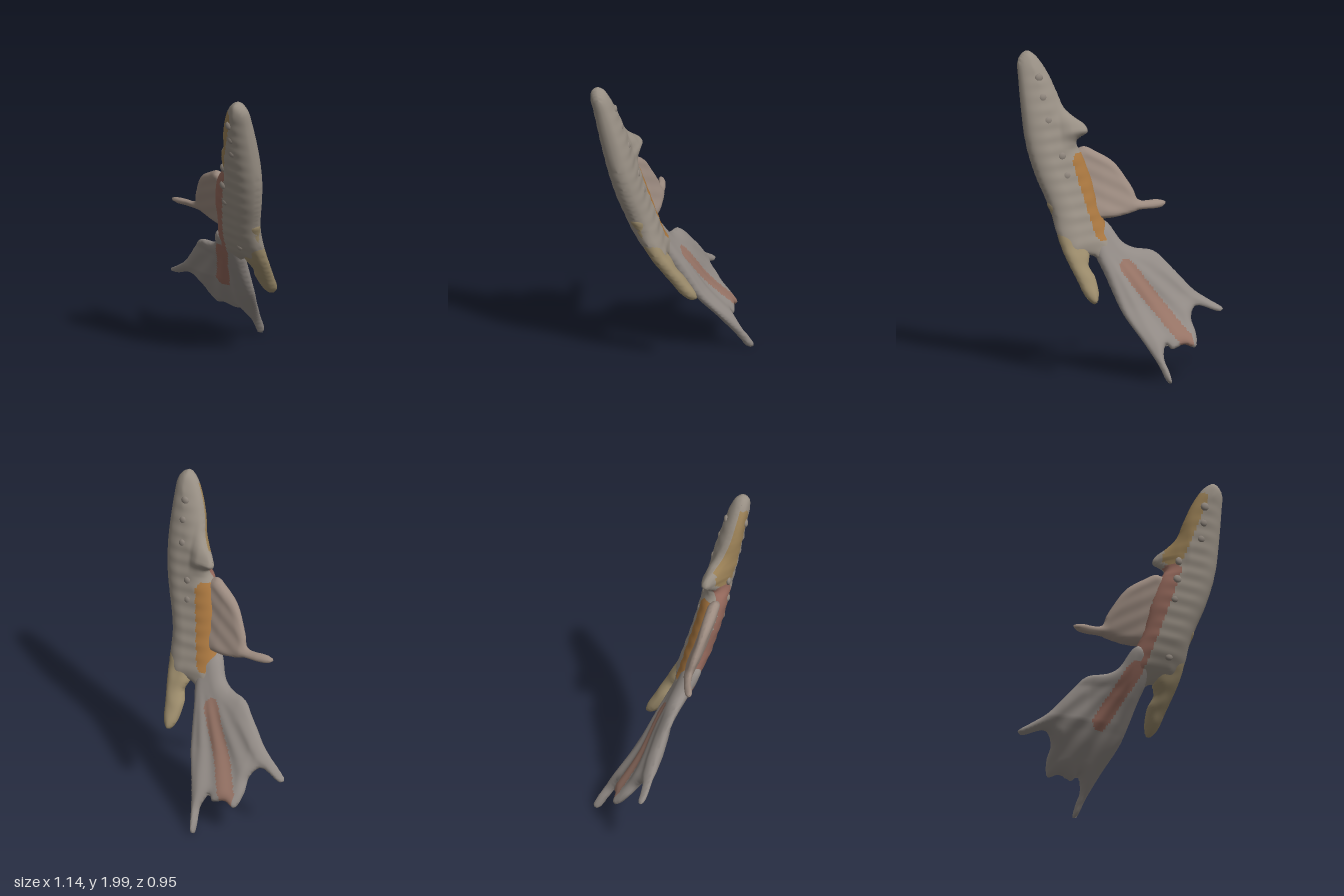
import * as THREE from 'three';

const STEP = 0.012;
const clamp = THREE.MathUtils.clamp;
const ramp = (v, from, to) => clamp((v - from) / (to - from), 0, 1);

// The whole fish follows one bowed sheet: depth z as a function of height y
const bow = new THREE.SplineCurve(
  [-0.455, -0.325, -0.17, -0.045, 0.075, 0.172, 0.24, 0.29, 0.335, 0.385, 0.435]
    .map((z, i) => new THREE.Vector2(i * 0.2, z)));
const depth = (y) => bow.getPoint(clamp(y / 2, 0, 1)).y;

function segmentNearest(x, y, a, b) {
  const dx = b[0] - a[0], dy = b[1] - a[1];
  const t = clamp(((x - a[0]) * dx + (y - a[1]) * dy) / (dx * dx + dy * dy || 1), 0, 1);
  const px = a[0] + t * dx, py = a[1] + t * dy;
  return { px, py, d: Math.hypot(x - px, y - py) };
}

// Distance to a closed outline, nearest point on it, and whether (x, y) is inside
function probe(x, y, line) {
  let best = { d: Infinity }, inside = false;
  line.forEach((a, i) => {
    const b = line[(i + 1) % line.length];
    if ((a[1] > y) !== (b[1] > y) && x < a[0] + (y - a[1]) / (b[1] - a[1]) * (b[0] - a[0])) inside = !inside;
    const n = segmentNearest(x, y, a, b);
    if (n.d < best.d) best = n;
  });
  return { ...best, inside };
}

// A padded flap: smooth outline, rounded rim, bent onto the bowed sheet.
// Bands are coloured strips on one side, each becoming its own mesh.
function flap({ name, color, outline, thick, rim, lean, ripple, bands = [] }) {
  const curve = new THREE.CatmullRomCurve3(outline.map(([x, y]) => new THREE.Vector3(x, y, 0)), true);
  const line = curve.getPoints(outline.length * 5).slice(0, -1).map((p) => [p.x, p.y]);
  const xs = line.map((p) => p[0]), ys = line.map((p) => p[1]);
  const x0 = Math.min(...xs) - STEP, y0 = Math.min(...ys) - STEP;
  const nx = Math.ceil((Math.max(...xs) - x0) / STEP) + 2;
  const ny = Math.ceil((Math.max(...ys) - y0) / STEP) + 2;

  // Grid points outside are pulled to the rim, where front and back share a vertex
  const pos = [], grid = [];
  for (let j = 0; j < ny; j++) for (let i = 0; i < nx; i++) {
    let x = x0 + i * STEP, y = y0 + j * STEP;
    const n = probe(x, y, line);
    if (!n.inside) { x = n.px; y = n.py; }
    const u = n.inside ? Math.min(n.d / rim, 1) : 0;
    const h = thick(x, y) * Math.sqrt(1 - (1 - u) ** 2) + u * ripple(x, y);
    const mid = depth(y) + lean(x, y), id = pos.length / 3;
    pos.push(x, y, mid + h);
    if (n.inside) pos.push(x, y, mid - h);
    grid.push({ x, y, inside: n.inside, ids: [id, n.inside ? id + 1 : id] });
  }

  const lists = [[], ...bands.map(() => [])];
  for (let j = 0; j < ny - 1; j++) for (let i = 0; i < nx - 1; i++) {
    const k = j * nx + i;
    const c = [grid[k], grid[k + 1], grid[k + nx + 1], grid[k + nx]];
    if (!c.some((v) => v.inside)) continue;
    const cx = (c[0].x + c[2].x) / 2, cy = (c[0].y + c[2].y) / 2;
    for (const side of [0, 1]) {
      const [p, q, r, s] = c.map((v) => v.ids[side]);
      const hit = bands.findIndex((b) => b.side === side && segmentNearest(cx, cy, b.from, b.to).d < b.width);
      lists[hit + 1].push(...(side === 0 ? [p, q, r, p, r, s] : [p, r, q, p, s, r]));
    }
  }
  const whole = new THREE.BufferGeometry();
  whole.setAttribute('position', new THREE.Float32BufferAttribute(pos, 3));
  whole.setIndex(lists.flat());
  whole.computeVertexNormals();

  const group = new THREE.Group();
  group.name = name;
  lists.forEach((index, i) => {
    const geo = new THREE.BufferGeometry();
    geo.setAttribute('position', whole.attributes.position);
    geo.setAttribute('normal', whole.attributes.normal);
    geo.setIndex(index);
    const style = i ? bands[i - 1] : { name: name + 'Surface', color };
    const mesh = new THREE.Mesh(geo, new THREE.MeshStandardMaterial({ color: style.color }));
    mesh.name = style.name;
    group.add(mesh);
  });
  return group;
}

const FRONT = 0, BACK = 1;

// The body thins toward the head and into the tail stem; its shoulder leans back
const bodyThick = (x, y) => 0.083 - 0.014 * ramp(y, 1.6, 1.9) - 0.04 * ramp(y, 1, 0.62)
  - 0.03 * ramp(x, 0.3, 0.2) * ramp(y, 1.42, 1.5);
const bodyLean = (x, y) => -0.085 * ramp(x, 0.36, 0.2) * ramp(y, 1.4, 1.5) * ramp(y, 1.8, 1.6)
  - 0.015 * ramp(x, 0.5, 0.15) * ramp(y, 0.9, 1.1);

// Upper right wing of the tail, which is thinner and set back
const tailWing = (x, y) => ramp(x, 0.08, -0.15) * ramp(y, 0.5, 0.7);

export function createModel() {
  const model = new THREE.Group();
  model.name = 'fish';

  // Body with the head at the top, a shoulder bump, and a taper into the tail stem
  model.add(flap({
    name: 'body', color: 0x988f84, thick: bodyThick, rim: 0.12, lean: bodyLean,
    outline: [[0.5, 2], [0.557, 1.95], [0.57, 1.82], [0.57, 1.61], [0.557, 1.42], [0.515, 1.24], [0.467, 1.1],
      [0.44, 1], [0.42, 0.86], [0.36, 0.76], [0.26, 0.76], [0.2, 0.74], [0.15, 0.62], [0.06, 0.52], [0.0, 0.6],
      [0.03, 0.78], [0.1, 0.944], [0.13, 1.05], [0.15, 1.2], [0.2, 1.36], [0.24, 1.44], [0.18, 1.505],
      [0.2, 1.55], [0.25, 1.59], [0.3, 1.645], [0.33, 1.74], [0.38, 1.87], [0.446, 1.97]],
    ripple: (x, y) => 0.002 * Math.sin(y * 75 + x * 8),
    bands: [
      { name: 'redBand', color: 0x95695c, side: FRONT, from: [0.27, 1.42], to: [0.05, 0.62], width: 0.05 },
      { name: 'yellowBand', color: 0x9a8056, side: FRONT, from: [0.4, 1.88], to: [0.28, 1.52], width: 0.055 },
      { name: 'orangeBand', color: 0xa8763f, side: BACK, from: [0.24, 1.32], to: [0.15, 0.9], width: 0.055 },
    ],
  }));

  // Side fin with a thin trailing tip
  model.add(flap({
    name: 'rightFin', color: 0x9c8b80, thick: (x) => 0.038 - 0.013 * ramp(x, 0.1, -0.1), rim: 0.05,
    outline: [[0.3, 1], [0.1, 0.965], [-0.04, 0.985], [-0.12, 1.005], [-0.28, 1.01], [-0.31, 1.035], [-0.255, 1.056],
      [-0.12, 1.066], [-0.1, 1.12], [-0.07, 1.18], [0.01, 1.3], [0.117, 1.37], [0.18, 1.4], [0.228, 1.385], [0.32, 1.3]],
    lean: (x) => -0.07 * ramp(x, 0.28, -0.08) + 0.015 * ramp(x, -0.2, -0.3),
    ripple: (x, y) => 0.002 * Math.sin((y - x * 0.5) * 60),
  }));

  // Hanging fin on the other side
  model.add(flap({
    name: 'leftFin', color: 0x9a8a6a, thick: () => 0.052, rim: 0.06,
    outline: [[0.46, 1.08], [0.44, 1], [0.414, 0.8], [0.366, 0.63], [0.33, 0.52], [0.286, 0.483], [0.252, 0.52],
      [0.24, 0.63], [0.265, 0.7], [0.245, 0.76], [0.26, 0.85], [0.32, 1.02], [0.4, 1.12]],
    lean: (x, y) => -0.02 * ramp(y, 0.8, 0.5),
    ripple: (x, y) => 0.002 * Math.sin(y * 60),
  }));

  // Ragged, pleated tail, thickest at the stem
  model.add(flap({
    name: 'tail', color: 0x918a85, rim: 0.065,
    thick: (x, y) => 0.046 + 0.014 * ramp(y, 0.45, 0.65) - 0.026 * tailWing(x, y) - 0.018 * ramp(x, -0.3, -0.42),
    outline: [[0.22, 0.9], [0.2, 0.75], [0.17, 0.65], [0.138, 0.52], [0.106, 0.41], [0.027, 0.255], [-0.03, 0.13],
      [-0.073, 0.015], [-0.095, 0.012], [-0.09, 0.095], [-0.08, 0.15], [-0.12, 0.23], [-0.15, 0.2], [-0.24, 0.22],
      [-0.31, 0.2], [-0.34, 0.28], [-0.334, 0.36], [-0.39, 0.425], [-0.54, 0.38], [-0.57, 0.395], [-0.493, 0.45],
      [-0.4, 0.515], [-0.28, 0.65], [-0.175, 0.76], [-0.053, 0.785], [0.01, 0.82], [0.1, 0.95]],
    lean: (x, y) => -0.038 * tailWing(x, y) + 0.015 * ramp(x, -0.35, -0.5),
    // Pleats fan out from the stem
    ripple: (x, y) => 0.006 * Math.sin(Math.atan2(x - 0.2, 0.95 - y) * 32) * ramp(y, 0.75, 0.5),
    bands: [
      { name: 'frontTailStripe', color: 0x95695c, side: FRONT, from: [0.1, 0.8], to: [-0.06, 0.5], width: 0.05 },
      { name: 'backTailStripe', color: 0x967365, side: BACK, from: [0.03, 0.68], to: [-0.25, 0.25], width: 0.05 },
    ],
  }));

  // Rows of low knobs sunk into both faces
  const knobs = (name, side, spots) => spots.forEach(([x, y], i) => {
    const mesh = new THREE.Mesh(new THREE.SphereGeometry(0.028, 14, 10),
      new THREE.MeshStandardMaterial({ color: 0x8d847b }));
    mesh.scale.z = 0.6;
    mesh.position.set(x, y, depth(y) + bodyLean(x, y) + side * (bodyThick(x, y) - 0.011));
    mesh.name = name + (i + 1);
    model.add(mesh);
  });
  knobs('frontKnob', 1, [[0.44, 1.83], [0.44, 1.73], [0.43, 1.63], [0.31, 1.48], [0.3, 1.36], [0.29, 1.24], [0.3, 0.9]]);
  knobs('backKnob', -1, [[0.46, 1.84], [0.45, 1.72], [0.43, 1.58], [0.36, 1.36], [0.34, 1.24]]);

  return model;
}
